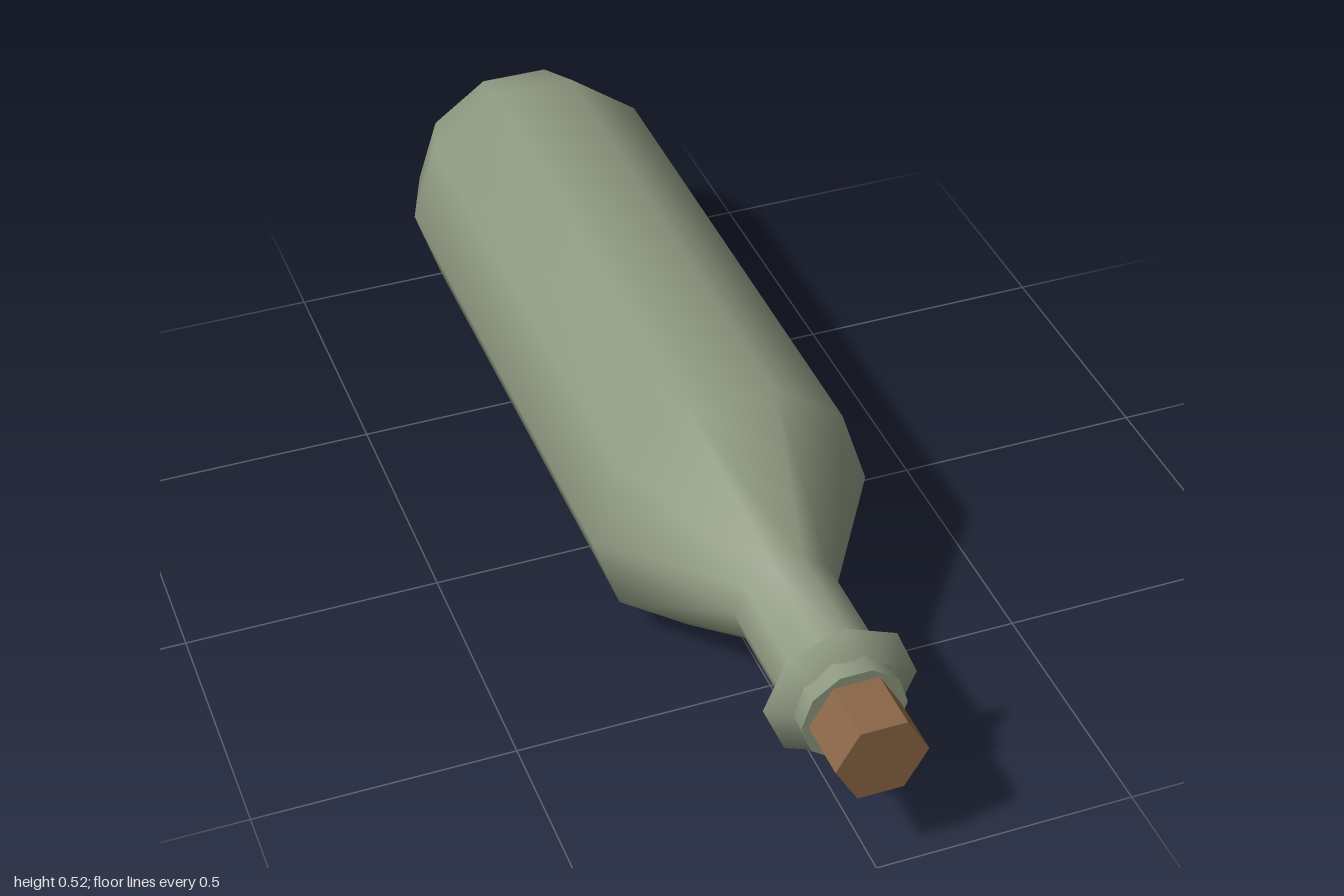
import * as THREE from 'three';

const AXIS_Y = 0.262; // height of the bottle's centre line

export function createModel() {
  const glass = new THREE.MeshStandardMaterial({ color: 0x8e9880 });
  glass.name = 'greenGlass';
  const corkBrown = new THREE.MeshStandardMaterial({ color: 0x8a6546 });
  corkBrown.name = 'corkBrown';

  const group = new THREE.Group();
  group.name = 'bottle';

  function add(name, geometry, material, z = 0) {
    const mesh = new THREE.Mesh(geometry, material);
    mesh.name = name;
    mesh.position.set(0, AXIS_Y, z);
    group.add(mesh);
    return mesh;
  }

  // Turned shape along z, from [radius, z] pairs listed back to front
  function turned(profile, sides, start) {
    const points = profile.map(([r, z]) => new THREE.Vector2(r, z));
    return new THREE.LatheGeometry(points, sides, start).rotateX(Math.PI / 2);
  }

  // Ten-sided smooth body with chamfered base, sloping shoulder and neck
  add('bottleBody', turned([
    [0.222, -1], [0.275, -0.86], [0.275, 0.285], [0.1, 0.56], [0.1, 0.88],
  ], 10, Math.PI / 2), glass);

  // Flat ends
  add('base', new THREE.CircleGeometry(0.222, 10).rotateY(Math.PI), glass, -1);
  add('mouth', new THREE.CircleGeometry(0.1, 10), glass, 0.88);

  // Eight-sided pointed ring around the neck
  add('neckRing', turned([
    [0.098, 0.783], [0.146, 0.815], [0.098, 0.847],
  ], 8, 0), glass);

  // Six-sided cork
  const cork = new THREE.CylinderGeometry(0.087, 0.087, 0.16, 6, 1, false, Math.PI / 2);
  cork.rotateX(Math.PI / 2);
  const flatCork = cork.toNonIndexed();
  flatCork.computeVertexNormals();
  add('cork', flatCork, corkBrown, 0.92);

  return group;
}
